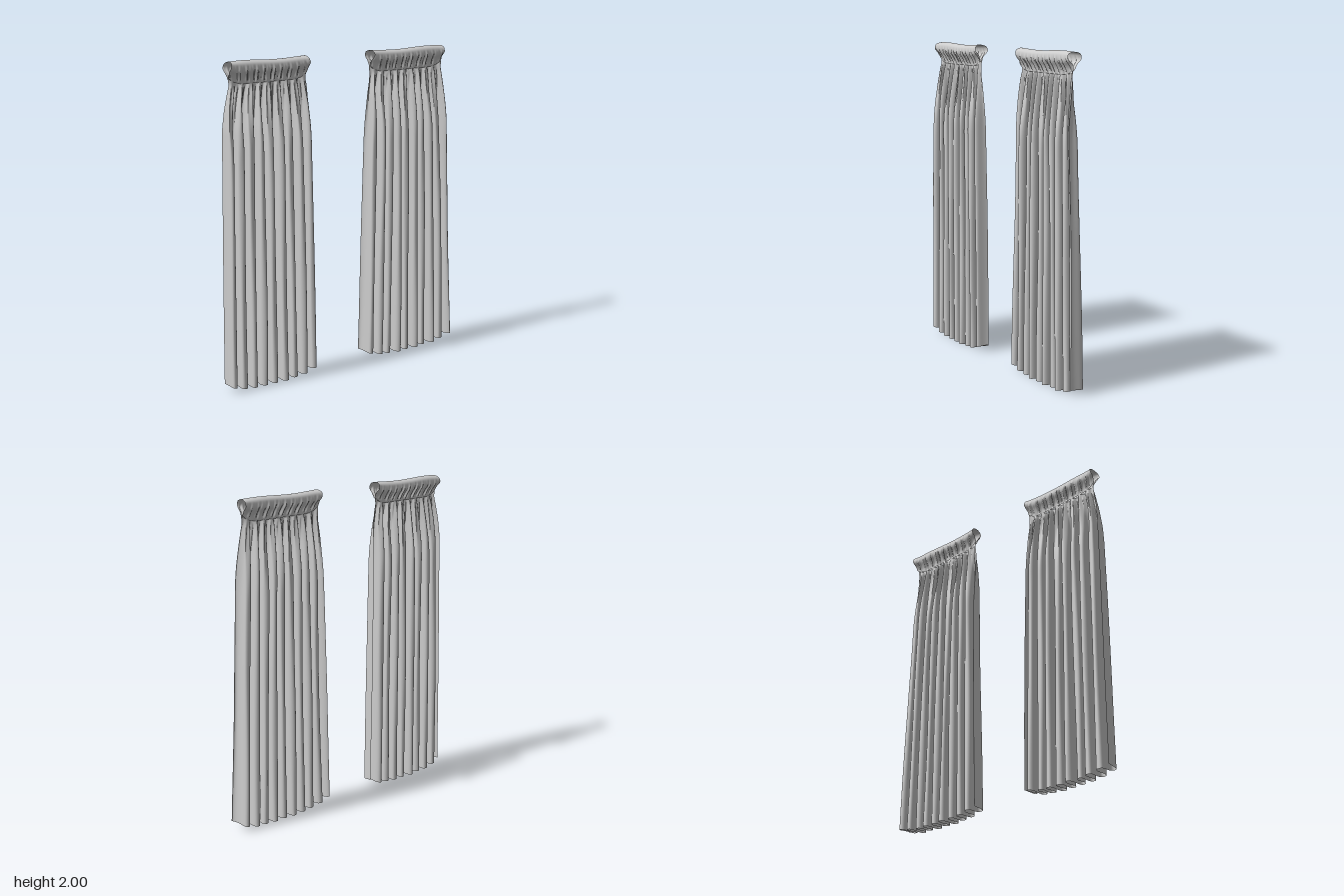
import * as THREE from 'three';

const material = new THREE.MeshStandardMaterial({ color: 0xcccccc, side: THREE.DoubleSide });
const { lerp, smoothstep } = THREE.MathUtils;

// Smooth surface from a rule (u, v in 0..1) -> [x, y, z]
function surface(name, nu, nv, rule) {
  const geometry = new THREE.PlaneGeometry(1, 1, nu, nv);
  const pos = geometry.attributes.position;
  for (let j = 0, i = 0; j <= nv; j++) {
    for (let k = 0; k <= nu; k++, i++) pos.setXYZ(i, ...rule(k / nu, j / nv));
  }
  geometry.computeVertexNormals();
  const mesh = new THREE.Mesh(geometry, material);
  mesh.name = name;
  return mesh;
}

// Piecewise-linear lookup in [[y, x], ...] listed from top to bottom
function edgeAt(points, y) {
  for (let i = 1; i < points.length; i++) {
    const [y0, x0] = points[i - 1], [y1, x1] = points[i];
    if (y >= y1) return lerp(x0, x1, Math.min(1, Math.max(0, (y0 - y) / (y0 - y1))));
  }
  return points[points.length - 1][1];
}

// Seam between rod pocket and cloth curls up at both ends
const seamY = (u) => 1.862 + 0.04 * Math.pow(Math.abs(2 * u - 1), 8);

// Section of the rod pocket: a round sleeve on a narrow neck, [z, height fraction above the seam]
const half = [[0.006, 0], [0.011, 0.2], [0.02, 0.36], [0.035, 0.55], [0.037, 0.74], [0.025, 0.93]];
const section = new THREE.CatmullRomCurve3([
  ...half, [0, 1], ...half.map(([z, h]) => [-z, h]).reverse(),
].map(([z, h]) => new THREE.Vector3(0, h, z)));

function createCurtain({ name, left, right, pleats, start, seed }) {
  const curtain = new THREE.Group();
  curtain.name = name;
  const wobble = (u, f, s) => Math.sin(f * u + s + seed);

  // Hanging cloth: fine gathers at the seam opening into deep, overhanging round pleats
  curtain.add(surface('pleatedCloth', 440, 56, (u, v) => {
    const t = 2 * u - 1, inner = Math.sin(Math.PI * u);
    const hem = 0.003 + 0.042 * Math.pow(Math.abs(t), 3.5);
    const y = lerp(seamY(u), hem, Math.pow(v, 1.25));
    const drop = 1.87 - y;
    const open = smoothstep(drop, -0.08, 0.42);
    const phase = start + Math.PI * 2 * pleats * u
      + inner * (0.2 * wobble(u, 17, 0) + 0.2 * wobble(u, 23, y * 1.6));
    const depth = lerp(0.006, 0.044 + 0.01 * Math.min(1, drop / 1.8), open)
      * (1 + 0.1 * wobble(u, 29, 1.1) + 0.06 * wobble(u, 13, y * 2));
    const c = Math.cos(phase);
    const gather = 0.007 * smoothstep(drop, 0, 0.06) * (1 - smoothstep(drop, 0.12, 0.5));
    const crease = 0.0025 * open * (wobble(u, 95, y * 3) + 0.7 * wobble(u, 151, -y * 4));
    const fold = 0.0095 * open * Math.min(1, 20 * u, 20 * (1 - u));
    const x = lerp(edgeAt(left, y), edgeAt(right, y), u) + fold * Math.sin(2 * phase);
    const z = depth * c * (1.1 - 0.1 * c * c) + gather * wobble(u, 140, y * 3) + crease;
    return [x, y, z + 0.003 * open];
  }));

  // Rod pocket: open-ended sleeve, ruffled below the rod and flared at its ends
  curtain.add(surface('rodPocket', 240, 44, (u, v) => {
    const p = section.getPoint(v);
    const t = Math.abs(2 * u - 1), side = Math.sign(p.z);
    const flare = 1 + 0.17 * Math.pow(t, 10);
    const ruffle = smoothstep(p.y, 0, 0.2) * (1 - smoothstep(p.y, 0.45, 0.85)) * (1 - 0.5 * t);
    const wrinkle = 0.006 * ruffle * (wobble(u, 88, side + p.y * 3) + 0.7 * wobble(u, 147, p.y * 5));
    const y = lerp(seamY(u), 1.996 + 0.004 * wobble(u, 7, 0), p.y);
    const end = 0.007 * Math.sin(v * 9 + seed) * Math.pow(t, 12) * Math.sign(u - 0.5) * p.y;
    const x = lerp(edgeAt(left, y), edgeAt(right, y), u) + end;
    return [x, y, p.z * flare + side * wrinkle];
  }));
  return curtain;
}

export function createModel() {
  const model = new THREE.Group();
  model.name = 'curtains';
  // Side edges as [y, x] from top to hem
  model.add(createCurtain({
    name: 'rightCurtain', pleats: 8.67, start: -2.1, seed: 0.4,
    left: [[2, -0.825], [1.94, -0.832], [1.86, -0.818], [1.72, -0.845], [1.6, -0.857], [1, -0.865], [0, -0.875]],
    right: [[2, -0.275], [1.94, -0.27], [1.86, -0.278], [1.72, -0.26], [1.6, -0.255], [1, -0.244], [0, -0.228]],
  }));
  model.add(createCurtain({
    name: 'leftCurtain', pleats: 9.6, start: Math.PI, seed: 2.3,
    left: [[2, 0.215], [1.94, 0.206], [1.86, 0.213], [1.72, 0.2], [1.6, 0.197], [1, 0.185], [0, 0.16]],
    right: [[2, 0.79], [1.94, 0.797], [1.86, 0.787], [1.72, 0.799], [1.6, 0.807], [1, 0.836], [0, 0.872]],
  }));
  return model;
}
